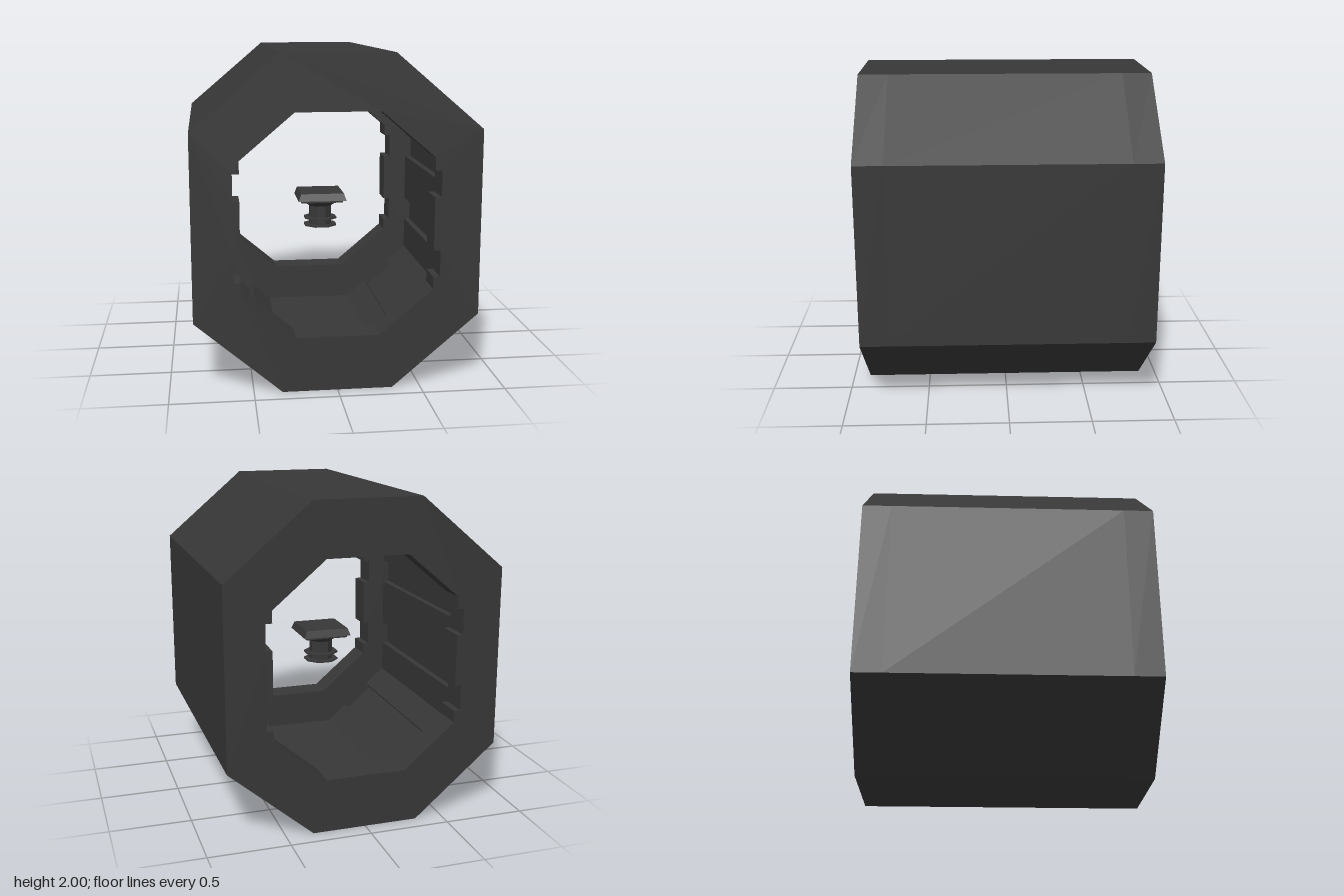
import * as THREE from 'three';

const material = new THREE.MeshStandardMaterial({ color: 0x373737, flatShading: true });
const MID = 1; // height of the tube axis
const HALF = 0.895; // half length of the tube
const LIP = 0.18; // thickness of each end frame

// Closed clockwise outline from its upper right quarter, given as [x, height above the axis]
function outline(quarter) {
  const right = [...quarter, ...quarter.map(([x, y]) => [x, -y]).reverse()];
  const left = right.map(([x, y]) => [-x, y]).reverse();
  return [...right, ...left].map(([x, y]) => new THREE.Vector2(x, y + MID));
}

const outer = outline([[0.33, 1], [0.85, 0.557]]);
// Holes run the other way round so that their walls face inwards
const opening = outline([
  [0.25, 0.667], [0.57, 0.395], [0.57, 0.32], [0.61, 0.32], [0.61, 0.16], [0.57, 0.16],
]).reverse();
const cavity = outline([
  [0.3, 0.91], [0.43, 0.796], [0.455, 0.826], [0.626, 0.674], [0.6, 0.644],
  [0.73, 0.53], [0.73, 0.32], [0.77, 0.32], [0.77, 0.16], [0.73, 0.16],
]).reverse();

// Octagonal slab with a hole, running along z
function ring(name, hole, z, depth) {
  const shape = new THREE.Shape(outer);
  shape.holes.push(new THREE.Path(hole));
  const geometry = new THREE.ExtrudeGeometry(shape, { depth, bevelEnabled: false });
  const mesh = new THREE.Mesh(geometry, material);
  mesh.name = name;
  mesh.position.z = z;
  return mesh;
}

// Tapered prism between two heights, with one side square to the front;
// the widths are half widths measured across the flats
function prism(name, sides, bottom, top, wBottom, wTop) {
  const k = 1 / Math.cos(Math.PI / sides);
  const geometry = new THREE.CylinderGeometry(wTop * k, wBottom * k, top - bottom, sides);
  geometry.rotateY(Math.PI / sides);
  const mesh = new THREE.Mesh(geometry, material);
  mesh.name = name;
  mesh.position.y = (top + bottom) / 2;
  return mesh;
}

export function createModel() {
  const model = new THREE.Group();
  model.name = 'octagonalTube';

  // Hollow body with channelled walls, closed by a notched frame at each end
  model.add(
    ring('hull', cavity, -HALF + LIP, 2 * (HALF - LIP)),
    ring('frontFrame', opening, HALF - LIP, LIP),
    ring('backFrame', opening, -HALF, LIP),
  );

  // Small pedestal hanging in the centre
  const pedestal = new THREE.Group();
  pedestal.name = 'pedestal';
  pedestal.add(
    prism('tableTop', 4, 1.003, 1.05, 0.158, 0.142),
    prism('tableUnderside', 4, 0.988, 1.003, 0.138, 0.138),
    prism('collar', 8, 0.95, 0.988, 0.07, 0.12),
    prism('column', 8, 0.815, 0.95, 0.07, 0.07),
    prism('upperFlange', 8, 0.863, 0.873, 0.105, 0.105),
    prism('lowerFlange', 8, 0.815, 0.825, 0.105, 0.105),
  );
  model.add(pedestal);
  return model;
}
